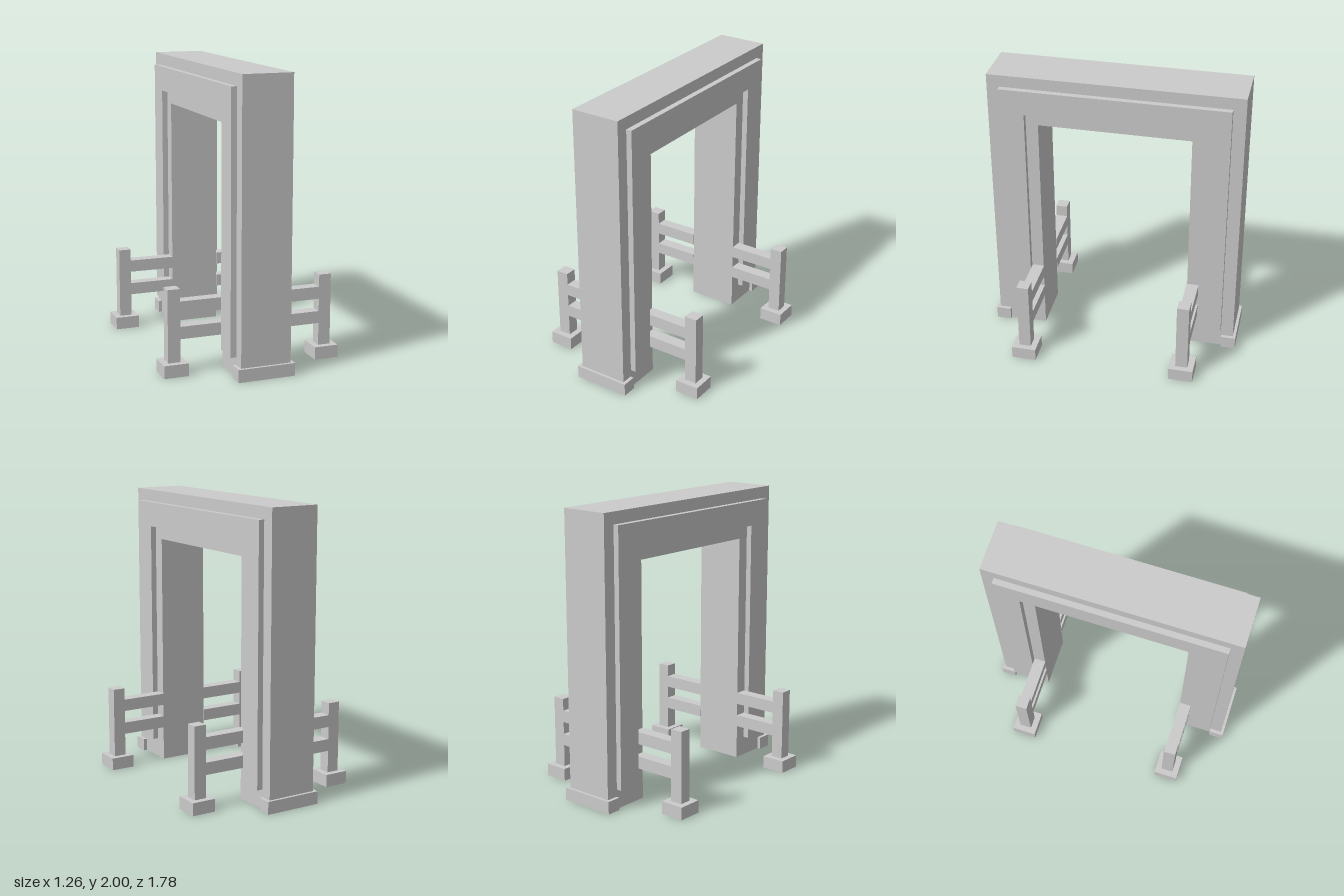
import * as THREE from 'three';

const material = new THREE.MeshStandardMaterial({ color: 0xcccccc, flatShading: true, side: THREE.DoubleSide });

// Removes the faces resting on the ground, leaving the part hollow underneath.
function openBottom(geometry) {
  const source = geometry.index ? geometry.toNonIndexed() : geometry;
  const p = source.attributes.position;
  const kept = [];
  for (let i = 0; i < p.count; i += 3) {
    if ([0, 1, 2].every((k) => Math.abs(p.getY(i + k)) < 1e-5)) continue;
    for (let k = 0; k < 3; k++) kept.push(p.getX(i + k), p.getY(i + k), p.getZ(i + k));
  }
  const result = new THREE.BufferGeometry();
  result.setAttribute('position', new THREE.Float32BufferAttribute(kept, 3));
  result.computeVertexNormals();
  return result;
}

// Box given by its lower and upper limits on each axis.
function boxGeometry([x0, x1], [y0, y1], [z0, z1]) {
  return new THREE.BoxGeometry(x1 - x0, y1 - y0, z1 - z0)
    .translate((x0 + x1) / 2, (y0 + y1) / 2, (z0 + z1) / 2);
}

// Square arch in the z-y plane, extruded from x0 to x1.
function archGeometry(outer, top, inner, innerTop, bottom, x0, x1) {
  const shape = new THREE.Shape([
    [-outer, bottom], [-inner, bottom], [-inner, innerTop], [inner, innerTop],
    [inner, bottom], [outer, bottom], [outer, top], [-outer, top],
  ].map(([z, y]) => new THREE.Vector2(z, y)));
  return new THREE.ExtrudeGeometry(shape, { depth: x1 - x0, bevelEnabled: false })
    .rotateY(-Math.PI / 2)
    .translate(x1, 0, 0);
}

function add(parent, name, geometry) {
  const mesh = new THREE.Mesh(geometry, material);
  mesh.name = name;
  parent.add(mesh);
}

// Limits mirrored to the chosen side of an axis.
const side = (s, a, b) => (s > 0 ? [a, b] : [-b, -a]);

export function createModel() {
  const model = new THREE.Group();
  model.name = 'gateway';

  // Main arch, hollow underneath
  add(model, 'arch', openBottom(archGeometry(0.87, 2, 0.525, 1.655, 0, -0.175, 0.175)));

  // Raised trim on both broad faces
  for (const sx of [1, -1]) {
    add(model, 'archTrim', archGeometry(0.783, 1.917, 0.61, 1.742, 0.138, ...side(sx, 0.175, 0.215)));
  }

  for (const sz of [1, -1]) {
    // Plinth at the outer foot of each leg
    add(model, 'plinth', openBottom(boxGeometry([-0.2, 0.2], [0, 0.088], side(sz, 0.787, 0.89))));

    // Fences reaching out from both faces of the leg
    for (const sx of [1, -1]) {
      const fence = new THREE.Group();
      fence.name = 'fence';
      const z = side(sz, 0.522, 0.606);
      add(fence, 'fencePost', boxGeometry(side(sx, 0.5, 0.587), [0.088, 0.588], z));
      add(fence, 'fencePostBase',
        openBottom(boxGeometry(side(sx, 0.457, 0.628), [0, 0.088], side(sz, 0.479, 0.65))));
      for (const y of [0.245, 0.418]) {
        add(fence, 'fenceRail', boxGeometry(side(sx, 0.175, 0.5), [y, y + 0.085], z));
      }
      model.add(fence);
    }
  }
  return model;
}
